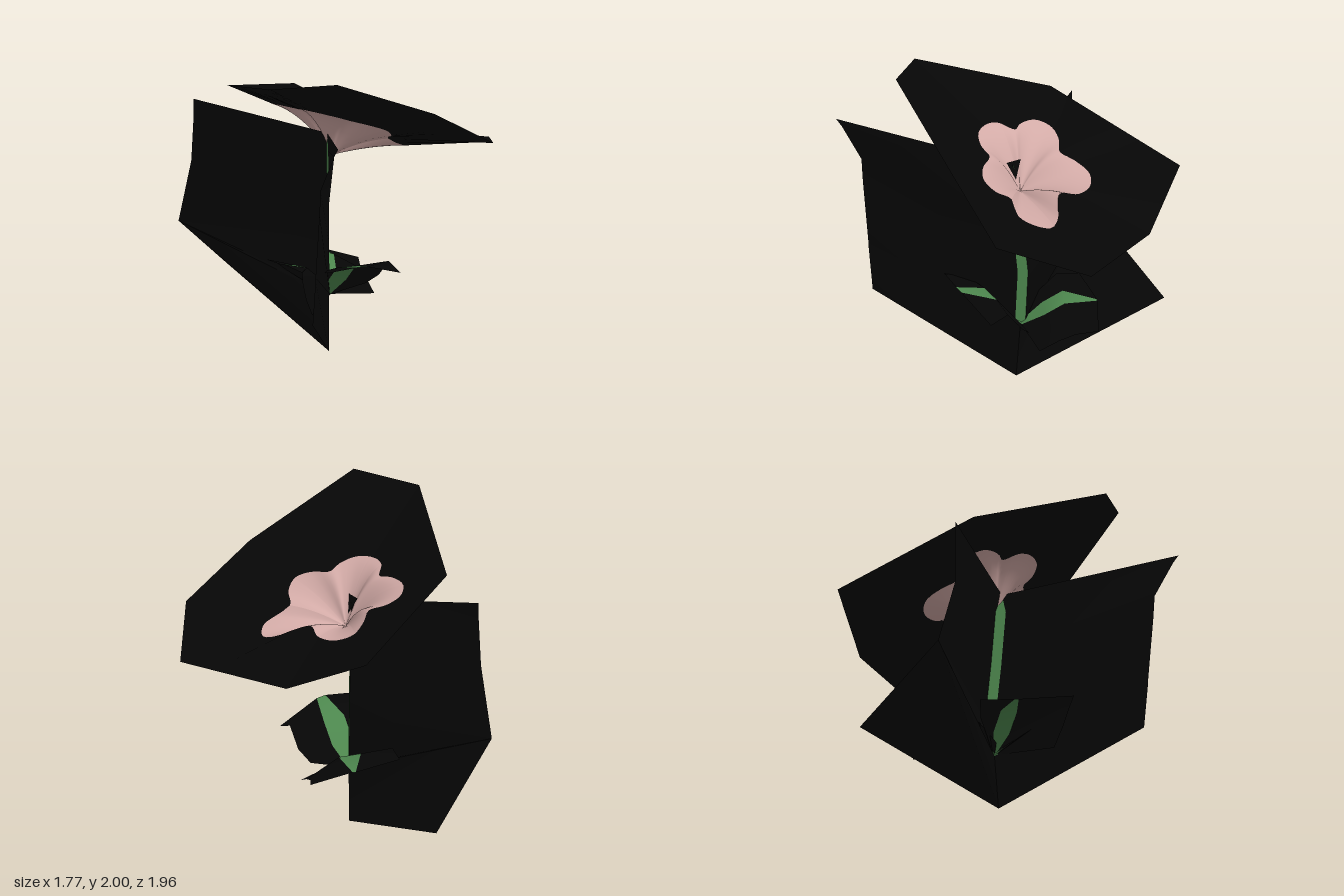
import * as THREE from 'three';

const material = (name, color) => {
  const m = new THREE.MeshStandardMaterial({ color, side: THREE.DoubleSide });
  m.name = name;
  return m;
};

// Surface through rows of [x, y, z] points
function loft(name, rows, mat) {
  const n = rows[0].length, index = [];
  for (let r = 0; r < rows.length - 1; r++) {
    for (let c = 0; c < n - 1; c++) {
      const a = r * n + c, b = a + n;
      index.push(a, a + 1, b, a + 1, b + 1, b);
    }
  }
  const g = new THREE.BufferGeometry();
  g.setAttribute('position', new THREE.Float32BufferAttribute(rows.flat(2), 3));
  g.setIndex(index);
  g.computeVertexNormals();
  const mesh = new THREE.Mesh(g, mat);
  mesh.name = name;
  return mesh;
}

// Card whose middle column is green; each row is [outer, green edge, green edge, outer]
function card(name, rows, dark, green) {
  const group = new THREE.Group();
  group.name = name;
  group.add(
    loft(name + 'SheetA', rows.map((r) => [r[0], r[1]]), dark),
    loft(name + 'Blade', rows.map((r) => [r[1], r[2]]), green),
    loft(name + 'SheetB', rows.map((r) => [r[2], r[3]]), dark)
  );
  return group;
}

// Row from an outer point, a centre with half-width vector, and the other outer point
const row = (a, c, w, b) => [a, c.map((v, i) => v - w[i]), c.map((v, i) => v + w[i]), b];

// Point where a ray from the apex meets a closed outline in x and z
function rayHit(outline, apex, angle) {
  const dx = Math.cos(angle), dz = Math.sin(angle);
  for (let i = 0; i < outline.length; i++) {
    const p = outline[i], q = outline[(i + 1) % outline.length];
    const ps = (p[2] - apex[2]) * dx - (p[0] - apex[0]) * dz;
    const qs = (q[2] - apex[2]) * dx - (q[0] - apex[0]) * dz;
    if (ps * qs > 0 || ps === qs) continue;
    const t = ps / (ps - qs);
    const h = p.map((v, k) => v + (q[k] - v) * t);
    if ((h[0] - apex[0]) * dx + (h[2] - apex[2]) * dz > 0) return h;
  }
  return outline[0];
}

// Height of the tilted petal plane, with a droop at the far petal and a dip beside it
const petalHeight = (x, z) =>
  1.46 - 0.45 * (x + 0.1) + 0.18 * (z - 0.05) - 0.45 * Math.max(0, x - 0.1) ** 2
  - 0.07 * Math.exp(-((x - 0.15) ** 2 + (z - 0.3) ** 2) / 0.02);

export function createModel() {
  const dark = material('black', 0x060606);
  const pink = material('petal pink', 0xd2aaa6);
  const green = material('leaf green', 0x4d874e);
  const model = new THREE.Group();
  model.name = 'flower';

  // Petal outline
  const apex = [-0.19, 1.26, 0.06];
  const petalXZ = [
    [0.33, 0.16], [0.28, 0.08], [0.2, 0.03], [0.11, -0.04], [0.13, -0.15], [0.08, -0.27],
    [-0.02, -0.325], [-0.12, -0.28], [-0.19, -0.22], [-0.28, -0.27], [-0.38, -0.275],
    [-0.44, -0.2], [-0.42, -0.08], [-0.38, -0.02], [-0.44, 0.06], [-0.44, 0.14],
    [-0.38, 0.24], [-0.28, 0.28], [-0.2, 0.27], [-0.13, 0.36], [-0.04, 0.41],
    [0.03, 0.37], [0.07, 0.28], [0.16, 0.3], [0.26, 0.27]
  ].map(([x, z]) => new THREE.Vector3(x, petalHeight(x, z), z));
  const petals = new THREE.CatmullRomCurve3(petalXZ, true).getPoints(100).slice(0, -1).map((p) => p.toArray());

  // Corners of the sheet around the petals
  const corners = [
    [0.19, 1.36, -0.84], [0.51, 1.14, -0.43], [0.88, 1.18, 0.21], [0.56, 1.36, 0.69],
    [0.1, 1.66, 0.715], [-0.61, 2, 0.685], [-0.89, 1.94, 0.38], [-0.62, 1.66, -0.42]
  ];
  const angles = corners.map((p) => Math.atan2(p[2] - apex[2], p[0] - apex[0]));
  for (let i = 0; i < 100; i++) angles.push(-Math.PI + 0.01 + (i / 100) * Math.PI * 2);
  angles.sort((a, b) => a - b);
  angles.push(angles[0]);

  // Funnel of petals, steeper on one side, then the sheet from their edge outwards
  const edge = angles.map((a) => rayHit(petals, apex, a));
  const rim = angles.map((a) => rayHit(corners, apex, a));
  const rings = [];
  for (let i = 0; i <= 8; i++) {
    const t = i / 8;
    rings.push(edge.map((e, j) => {
      const swell = (0.16 - 0.11 * Math.cos(angles[j])) * t * (1 - t);
      return e.map((v, k) => apex[k] + (v - apex[k]) * t + (k === 1 ? swell : 0));
    }));
  }
  model.add(loft('petals', rings, pink), loft('petalSheet', [edge, rim], dark));

  // Dark notch in the throat
  model.add(loft('throatNotch', [
    [[-0.25, 1.44, 0.12], [-0.25, 1.44, 0.02]],
    [[-0.215, 1.33, 0.075], [-0.215, 1.33, 0.075]]
  ], dark));

  // Stem on its bent sheet
  const w = [0.014, 0, -0.028], none = [0, 0, 0];
  const root = [-0.22, 0, 0.07], rear = [-0.73, 0.7, -0.77];
  model.add(card('stem', [
    row([-0.82, 0.5, 0.72], root, none, [-0.22, 0.25, -0.98]),
    row([-0.82, 0.5, 0.72], root, none, rear),
    row([-0.82, 0.8, 0.75], [-0.205, 0.35, 0.05], none, rear),
    row([-0.82, 0.82, 0.75], [-0.205, 0.37, 0.05], w, rear),
    row([-0.82, 1.25, 0.79], [-0.2, 0.7, 0.035], w, rear),
    row([-0.82, 1.4, 0.8], [-0.215, 0.95, 0.055], w, [-0.73, 1.13, -0.64]),
    row([-0.82, 1.66, 0.94], [-0.235, 1.31, 0.075], w, [-0.72, 1.42, -0.63]),
    row([-0.82, 1.72, 0.98], [-0.24, 1.42, 0.08], none, [-0.72, 1.53, -0.63])
  ], dark, green));

  // Leaf reaching forward
  model.add(card('frontLeaf', [
    row([-0.35, 0.42, 0.1], [-0.215, 0.355, 0.05], [0.015, 0, 0], [0.02, 0.4, 0.12]),
    row([-0.41, 0.5, 0.19], [-0.22, 0.48, 0.15], [0.07, -0.01, 0], [0.06, 0.47, 0.2]),
    row([-0.46, 0.62, 0.27], [-0.22, 0.6, 0.25], [0.07, -0.01, 0], [0.06, 0.59, 0.3]),
    row([-0.48, 0.67, 0.42], [-0.25, 0.67, 0.46], [0.03, -0.005, 0], [0.06, 0.55, 0.42])
  ], dark, green));

  // Leaf reaching back
  model.add(card('backLeaf', [
    row([-0.28, 0.4, 0.01], [-0.2, 0.36, 0.05], [0.015, -0.003, 0.005], [0.1, 0.31, 0.1]),
    row([-0.3, 0.49, -0.14], [-0.14, 0.45, -0.07], [0.06, -0.01, 0.03], [0.13, 0.36, -0.02]),
    row([-0.32, 0.56, -0.28], [-0.08, 0.525, -0.18], [0.06, -0.01, 0.03], [0.16, 0.39, -0.12]),
    row([-0.29, 0.535, -0.42], [0, 0.49, -0.37], [0.008, 0, 0.004], [0.23, 0.41, -0.24])
  ], dark, green));

  // Leaf reaching sideways behind the sheet
  model.add(card('sideLeaf', [
    row([-0.5, 0.36, 0.28], [-0.2, 0.36, 0.05], [0, 0, -0.01], [-0.29, 0.42, -0.07]),
    row([-0.56, 0.48, 0.3], [-0.29, 0.47, 0.04], [0, -0.01, -0.06], [-0.36, 0.48, -0.17]),
    row([-0.6, 0.6, 0.32], [-0.39, 0.57, 0.02], [0, -0.01, -0.06], [-0.42, 0.54, -0.22]),
    row([-0.62, 0.68, 0.34], [-0.51, 0.6, -0.01], [0, -0.005, -0.015], [-0.46, 0.55, -0.25])
  ], dark, green));

  return model;
}
